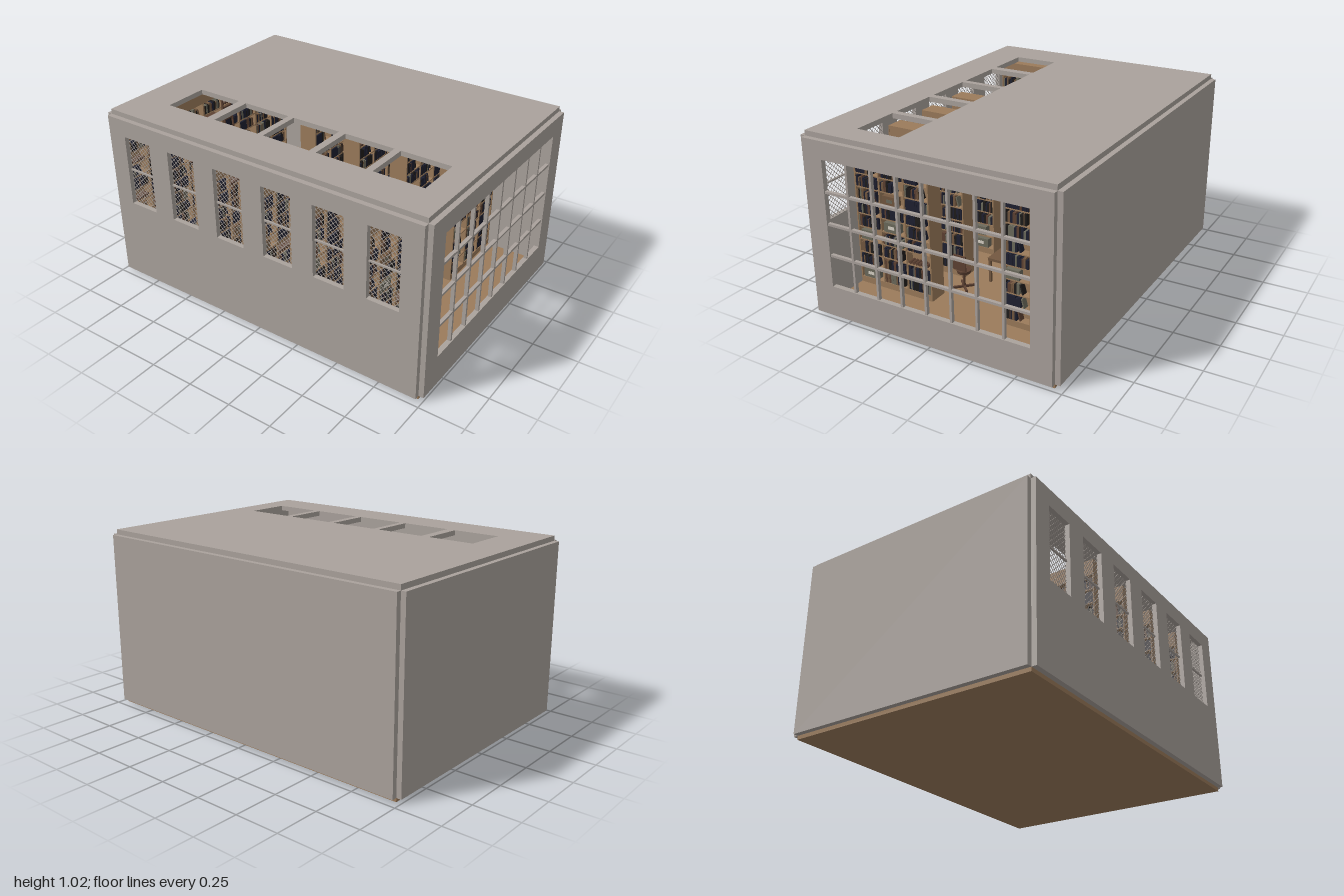
import * as THREE from 'three';
import { mergeGeometries } from 'three/addons/utils/BufferGeometryUtils.js';

const mat = (name, color) => Object.assign(new THREE.MeshStandardMaterial({ color }), { name });

export function createModel() {
  const M = {
    plaster: mat('warm grey plaster', 0xaaa29c),
    wood: mat('oak wood', 0x9b7b5b),
    navy: mat('navy', 0x1e2030),
    black: mat('soft black', 0x1f1c1b),
    umber: mat('umber leather', 0x5e4233),
    tan: mat('dark tan', 0x735840),
    sage: mat('grey green', 0x6c6a5c),
    cream: mat('cream', 0xd8d2c6),
  };
  const model = new THREE.Group();
  model.name = 'library';

  let seed = 7;
  const rnd = () => (seed = (seed * 16807) % 2147483647) / 2147483647;
  const pick = (list) => list[Math.floor(rnd() * list.length)];

  // boxes are collected per part and colour, then merged
  const parts = {};
  const add = (part, color, g) => ((parts[part + '|' + color] ??= []).push(g));
  const box = (part, color, w, h, d, x, y, z, tilt = 0) =>
    add(part, color, new THREE.BoxGeometry(w, h, d).rotateZ(tilt).translate(x, y, z));
  const span = (part, color, x0, x1, y0, y1, z0, z1) =>
    box(part, color, x1 - x0, y1 - y0, z1 - z0, (x0 + x1) / 2, (y0 + y1) / 2, (z0 + z1) / 2);

  // flat slab with rectangular holes
  const T = 0.028;
  const slab = (u0, u1, v0, v1, holes) => {
    const rect = (P, a, b, c, d) => {
      const p = new P();
      p.moveTo(a, c); p.lineTo(b, c); p.lineTo(b, d); p.lineTo(a, d); p.closePath();
      return p;
    };
    const s = rect(THREE.Shape, u0, u1, v0, v1);
    s.holes = holes.map((h) => rect(THREE.Path, ...h));
    return new THREE.ExtrudeGeometry(s, { depth: T, bevelEnabled: false });
  };

  // shell: floor, walls, roof
  const low = 0.021, high = 0.992, zi = 0.972;
  span('floor', 'wood', -0.7, 0.7, 0, 0.025, -zi, zi);
  span('backWall', 'plaster', -0.7, 0.7, low, high, -1, -zi);
  span('leftWall', 'plaster', 0.7, 0.7 + T, low, high, -zi, zi);
  add('frontWall', 'plaster',
    slab(-0.7, 0.7, low, high, [[-0.583, 0.583, 0.195, 0.895]]).translate(0, 0, zi));
  const winZ = [0, 1, 2, 3, 4, 5].map((i) => -0.77 + i * 0.308);
  const winW = 0.18, winLow = 0.49, winHigh = 0.895;
  add('rightWall', 'plaster',
    slab(-zi, zi, low, high, winZ.map((z) => [z - winW / 2, z + winW / 2, winLow, winHigh]))
      .rotateY(-Math.PI / 2).translate(-0.7, 0, 0));
  const skylights = [[-0.75, -0.48], [-0.43, -0.143], [-0.107, 0.18], [0.22, 0.51], [0.548, 0.83]];
  add('roof', 'plaster',
    slab(-0.7, 0.7, -zi, zi, skylights.map(([a, b]) => [-0.487, -0.232, a, b]))
      .rotateX(Math.PI / 2).translate(0, 1.02, 0));

  // front window bars
  for (let i = 1; i < 8; i++) box('frontWindowBars', 'plaster', 0.013, 0.7, 0.02, -0.585 + i * 0.14625, 0.545, 0.985);
  for (let i = 1; i < 4; i++) box('frontWindowBars', 'plaster', 1.166, 0.013, 0.019, 0, 0.195 + i * 0.175, 0.985);

  // fine diamond lattice at the inner side of the side windows
  const winH = winHigh - winLow, winY = (winLow + winHigh) / 2;
  for (const z of winZ) {
    box('sideWindowBars', 'plaster', 0.01, 0.009, winW, -0.706, winY, z);
    for (const s of [1, -1]) {
      for (let c = -0.28; c <= 0.281; c += 0.028) {
        const e = [(-winH / 2 - c) / s, (winH / 2 - c) / s].sort((a, b) => a - b);
        const a = Math.max(-winW / 2, e[0]), b = Math.min(winW / 2, e[1]);
        if (b - a < 0.004) continue;
        const m = (a + b) / 2;
        add('sideWindowLattice', 'plaster', new THREE.BoxGeometry(0.002, 0.0025, (b - a) * Math.SQRT2)
          .rotateX(-s * Math.PI / 4).translate(-0.703, winY + s * m + c, z + m));
      }
    }
  }

  // contents of one shelf compartment, dir is the side its front faces
  const bookColors = ['navy', 'navy', 'navy', 'navy', 'black', 'black', 'umber', 'tan', 'sage'];
  const fillBay = (x0, x1, y, zFront, dir, boxShare, boxColors) => {
    const kind = rnd(), zc = zFront - dir * 0.024;
    if (kind < boxShare) { // storage box with label
      const w = 0.07 + rnd() * 0.03, xc = x0 + 0.012 + w / 2, c = pick(boxColors);
      box('storageBoxes', c, w, 0.054, 0.04, xc, y + 0.027, zc);
      box('boxLabels', c === 'sage' ? 'cream' : 'sage', w * 0.42, 0.018, 0.002, xc, y + 0.028, zFront - dir * 0.003);
      return;
    }
    if (kind < boxShare + 0.07) { // row of rolled scrolls
      for (let x = x0 + 0.015; x < x1 - 0.01; x += 0.021) {
        add('scrolls', 'umber', new THREE.CylinderGeometry(0.01, 0.01, 0.04, 8).rotateX(Math.PI / 2).translate(x, y + 0.01, zc));
      }
      return;
    }
    let x = x0 + 0.003;
    if (kind > 0.85) { // set of large volumes
      box('largeVolumes', 'navy', 0.062, 0.062, 0.04, x + 0.031, y + 0.031, zc);
      x += 0.063;
    }
    const end = rnd() < 0.6 ? x1 - 0.003 : x0 + (x1 - x0) * (0.55 + rnd() * 0.35);
    for (;;) {
      const w = 0.007 + rnd() * 0.01, h = 0.046 + rnd() * 0.021;
      if (x + w > end) break;
      box('books', pick(bookColors), w - 0.0005, h, 0.038 + rnd() * 0.004, x + w / 2, y + h / 2, zc);
      x += w;
    }
    if (end < x1 - 0.025) box('books', pick(bookColors), 0.008, 0.055, 0.036, x + 0.012, y + 0.029, zc, 0.25);
  };

  // bookcase of several bays, with books on the given faces and closed cupboards on top
  const pitch = 0.078, base = 0.06;
  const bookcase = (x0, x1, z0, z1, bays, faces, rows) => {
    const zc = (z0 + z1) / 2, bw = (x1 - x0) / bays, top = base + rows * pitch;
    span('bookcases', 'wood', x0, x1, 0.025, base, z0, z1);
    span('bookcaseTops', 'wood', x0, x1, top, 0.85, z0, z1);
    const back = faces.length > 1 ? zc : z0 + 0.006;
    span('bookcaseBacks', 'wood', x0, x1, base, top, back - 0.005, back + 0.005);
    for (let i = 0; i <= bays; i++) {
      const x = Math.min(Math.max(x0 + i * bw, x0 + 0.004), x1 - 0.004);
      span('bookcaseUprights', 'wood', x - 0.004, x + 0.004, base, top, z0, z1);
      for (const d of faces) {
        box('cupboardStiles', 'wood', 0.008, 0.83 - top, 0.004, x, (0.83 + top) / 2, d > 0 ? z1 : z0);
      }
    }
    for (let r = 0; r < rows; r++) {
      const y = base + r * pitch;
      if (r) span('shelves', 'wood', x0, x1, y - 0.007, y, z0 + 0.002, z1 - 0.002);
      for (const dir of faces) {
        for (let b = 0; b < bays; b++) {
          const a = x0 + b * bw, middle = Math.abs(a + bw / 2) < 0.2;
          fillBay(a + 0.005, a + bw - 0.005, y, dir > 0 ? z1 : z0, dir,
            middle ? 0.3 : 0.13, middle ? ['umber', 'umber', 'tan'] : ['sage', 'sage', 'tan']);
        }
      }
    }
  };
  for (const z of [0.638, 0.323, 0.008, -0.302]) {
    bookcase(-0.7, -0.22, z - 0.11, z, 3, [1, -1], 9);
    bookcase(0.22, 0.7, z - 0.11, z, 3, [1, -1], 9);
  }
  bookcase(-0.7, 0.7, -zi, -0.9, 9, [1], 10);
  span('rearCornice', 'wood', -0.7, 0.7, 0.85, 0.93, -zi, -0.895);

  // desk with papers, lamp and drawers
  span('deskTop', 'navy', -0.43, -0.27, 0.2, 0.215, -0.8, -0.6);
  for (const x of [-0.425, -0.315]) span('deskDrawers', 'navy', x, x + 0.04, 0.025, 0.2, -0.79, -0.61);
  span('deskBook', 'umber', -0.42, -0.37, 0.215, 0.23, -0.69, -0.64);
  span('deskPaper', 'sage', -0.42, -0.37, 0.215, 0.22, -0.75, -0.72);
  span('deskBook', 'umber', -0.32, -0.28, 0.215, 0.225, -0.72, -0.69);
  span('deskLamp', 'umber', -0.305, -0.295, 0.215, 0.27, -0.74, -0.73);
  span('deskLamp', 'cream', -0.34, -0.26, 0.27, 0.285, -0.75, -0.73);
  span('sideCabinet', 'cream', -0.52, -0.43, 0.025, 0.2, -0.8, -0.6);
  span('cabinetTray', 'sage', -0.5, -0.44, 0.2, 0.206, -0.68, -0.66);

  // chair: seat, back, post and star base
  const chair = (x, z, c) => {
    add('chairSeat', c, new THREE.CylinderGeometry(0.042, 0.038, 0.018, 12).translate(x, 0.13, z));
    add('chairPost', c, new THREE.CylinderGeometry(0.008, 0.008, 0.09, 8).translate(x, 0.08, z));
    span('chairBack', c, x - 0.04, x + 0.04, 0.15, 0.24, z + 0.036, z + 0.044);
    for (let i = 0; i < 4; i++) {
      const a = Math.PI / 4 + i * Math.PI / 2;
      add('chairFeet', c, new THREE.BoxGeometry(0.065, 0.012, 0.012).translate(0.033, 0, 0).rotateY(a).translate(x, 0.034, z));
    }
  };
  chair(-0.44, -0.55, 'black');
  chair(-0.16, 0.42, 'umber');

  // low reading table in the aisle
  span('readingTable', 'tan', -0.08, 0.08, 0.16, 0.175, -0.1, 0.3);
  for (const x of [-0.07, 0.07]) for (const z of [-0.09, 0.29]) box('tableLegs', 'tan', 0.014, 0.135, 0.014, x, 0.0925, z);

  // ladder against the rear bookcase
  for (const x of [0.065, 0.135]) {
    add('ladder', 'umber', new THREE.BoxGeometry(0.008, 0.82, 0.01).rotateX(-0.1).translate(x, 0.435, -0.845));
  }
  for (let i = 0; i < 10; i++) box('ladder', 'umber', 0.07, 0.008, 0.01, 0.1, 0.09 + i * 0.075, -0.845 + (0.345 - i * 0.075) * 0.1);

  for (const [key, list] of Object.entries(parts)) {
    const [name, color] = key.split('|');
    const flat = list.map((g) => (g.index ? g.toNonIndexed() : g));
    const mesh = new THREE.Mesh(mergeGeometries(flat), M[color]);
    mesh.name = name;
    model.add(mesh);
  }
  return model;
}
